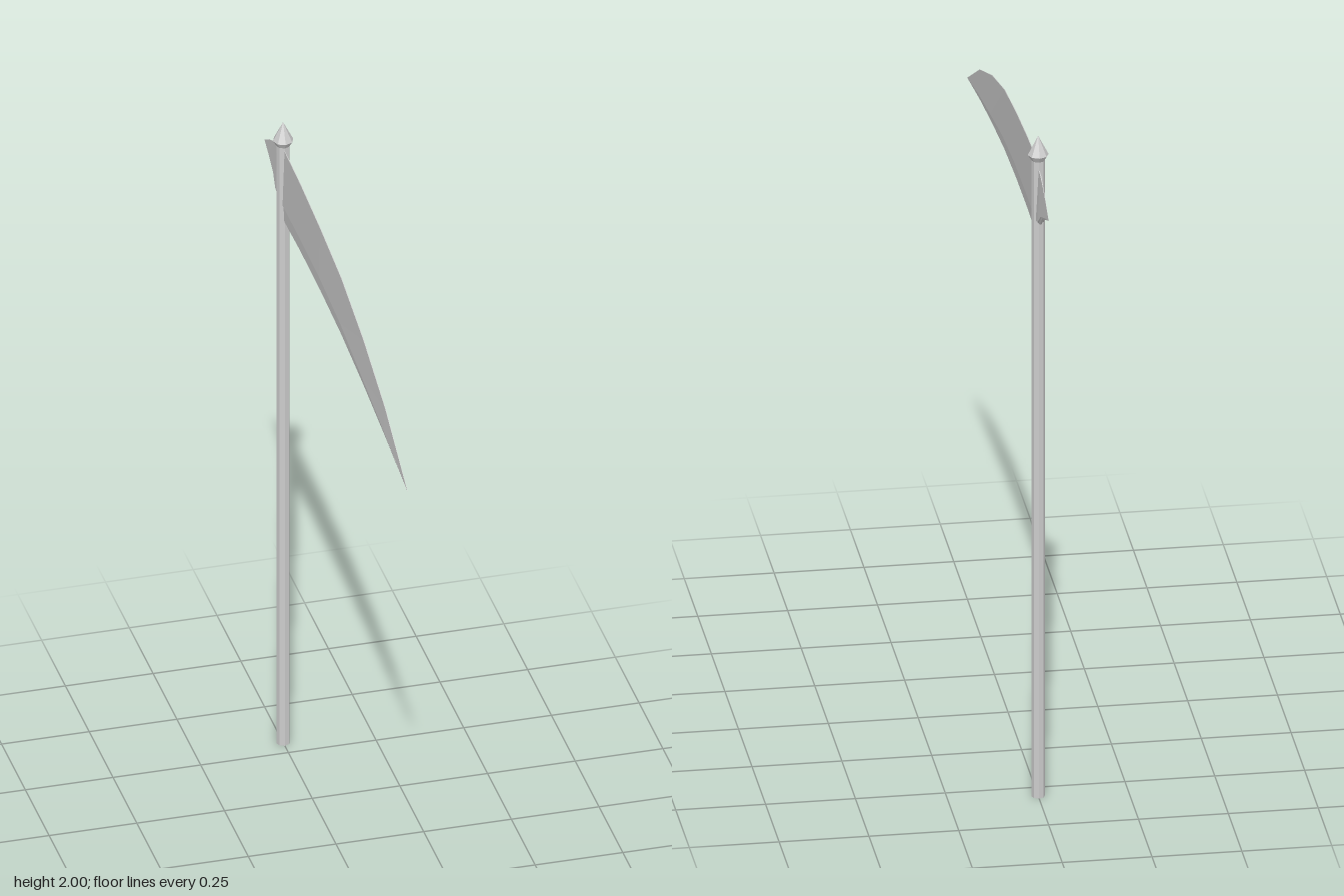
import * as THREE from 'three';

const POLE_Z = -0.556;
const material = new THREE.MeshStandardMaterial({ color: 0xcccccc, flatShading: true, side: THREE.DoubleSide });

// Skin a thin plate through stations [z, spineY, ridgeY, edgeY, ridgeHalfThickness], z ascending.
function plate(name, stations) {
  const rings = stations.map(([z, spine, ridge, edge, t]) => {
    const side = [[t * 0.15, spine], [t, ridge], [t * 0.6, ridge - (ridge - edge) * 0.04], [t * 0.25, edge]];
    const mirrored = side.map(([x, y]) => [-x, y]).reverse();
    return [...side, ...mirrored].map(([x, y]) => [x, y, z]);
  });
  const positions = [];
  for (let i = 0; i < rings.length - 1; i++) {
    const n = rings[i].length;
    for (let j = 0; j < n; j++) {
      const k = (j + 1) % n;
      const a = rings[i][j], b = rings[i][k], c = rings[i + 1][k], d = rings[i + 1][j];
      positions.push(...a, ...c, ...b, ...a, ...d, ...c);
    }
  }
  const geometry = new THREE.BufferGeometry();
  geometry.setAttribute('position', new THREE.Float32BufferAttribute(positions, 3));
  geometry.computeVertexNormals();
  const mesh = new THREE.Mesh(geometry, material);
  mesh.name = name;
  return mesh;
}

export function createModel() {
  const group = new THREE.Group();
  group.name = 'scythe';

  // Eight-sided shaft
  const pole = new THREE.Mesh(new THREE.CylinderGeometry(0.019, 0.019, 1.935, 8), material);
  pole.name = 'pole';
  pole.position.set(0, 1.935 / 2, POLE_Z);
  group.add(pole);

  // Pointed cap flaring out from the shaft
  const profile = [[0, 1.925], [0.018, 1.925], [0.029, 1.943], [0, 2]].map(([r, y]) => new THREE.Vector2(r, y));
  const cap = new THREE.Mesh(new THREE.LatheGeometry(profile, 8), material);
  cap.name = 'poleCap';
  cap.position.z = POLE_Z;
  group.add(cap);

  // Long curved blade with a bevelled cutting edge
  group.add(plate('blade', [
    [POLE_Z, 1.917, 1.742, 1.69, 0.006],
    [-0.37, 1.908, 1.742, 1.695, 0.006],
    [-0.16, 1.888, 1.737, 1.692, 0.006],
    [0.06, 1.858, 1.718, 1.68, 0.006],
    [0.29, 1.797, 1.68, 1.655, 0.006],
    [0.52, 1.71, 1.638, 1.622, 0.005],
    [0.75, 1.58, 1.58, 1.58, 0.0005],
  ]));

  // Short hooked spike behind the shaft
  group.add(plate('backSpike', [
    [-0.75, 1.83, 1.83, 1.83, 0.0005],
    [-0.7, 1.86, 1.815, 1.81, 0.003],
    [-0.64, 1.887, 1.792, 1.785, 0.006],
    [-0.605, 1.9, 1.76, 1.753, 0.009],
    [POLE_Z, 1.903, 1.745, 1.738, 0.009],
  ]));

  return group;
}
